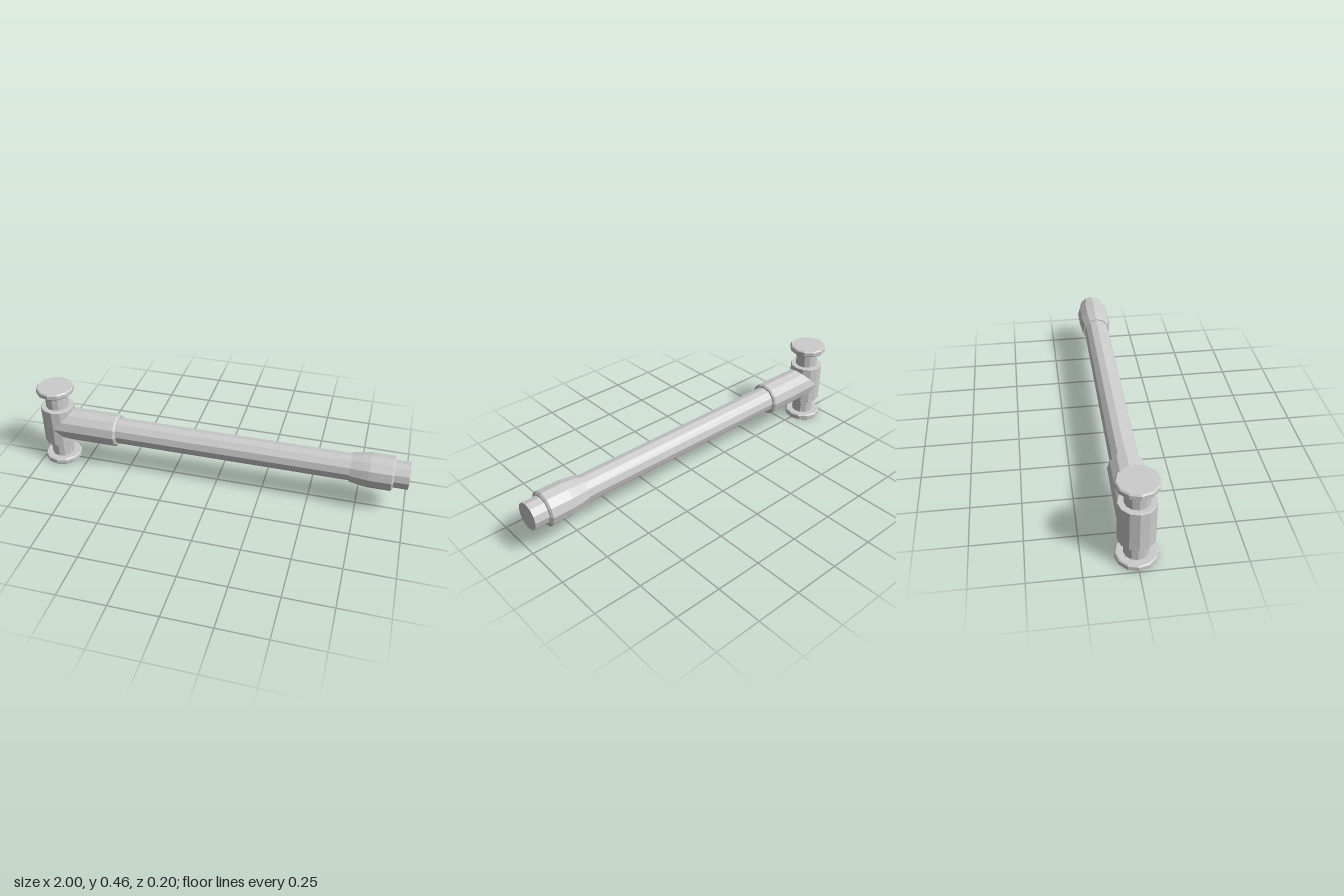
import * as THREE from 'three';

const SIDES = 12;
const AXIS_Y = 0.228;
const HEAD_X = -0.9;

const material = new THREE.MeshStandardMaterial({ color: 0xcccccc, flatShading: true });

// Faceted solid of revolution from [radius, position] pairs, closed at both ends.
function turned(name, profile) {
  const first = profile[0][1];
  const last = profile[profile.length - 1][1];
  const points = [[0, first], ...profile, [0, last]].map(([r, t]) => new THREE.Vector2(r, t));
  const mesh = new THREE.Mesh(new THREE.LatheGeometry(points, SIDES), material);
  mesh.name = name;
  return mesh;
}

// Same solid laid along +x.
function turnedAlongX(name, profile) {
  const mesh = turned(name, profile);
  mesh.rotation.z = -Math.PI / 2;
  mesh.position.y = AXIS_Y;
  return mesh;
}

export function createModel() {
  const model = new THREE.Group();
  model.name = 'hammer';

  // Head: collar, with a neck and striking face at each end
  const head = new THREE.Group();
  head.name = 'head';
  head.position.set(HEAD_X, AXIS_Y, 0);
  head.add(turned('headCollar', [[0.087, -0.108], [0.089, -0.106], [0.089, 0.106], [0.087, 0.108]]));
  for (const side of [1, -1]) {
    const end = new THREE.Group();
    end.name = side > 0 ? 'upperEnd' : 'lowerEnd';
    end.add(
      turned('neck', [[0.06, 0.09], [0.06, 0.2]]),
      turned('strikingFace', [[0.094, 0.195], [0.1, 0.201], [0.1, 0.221], [0.094, 0.228]])
    );
    if (side < 0) end.rotation.x = Math.PI;
    head.add(end);
  }
  model.add(head);

  // Handle: socket sleeve, long rod and swollen grip
  model.add(
    turnedAlongX('socketSleeve', [[0.089, HEAD_X], [0.089, -0.557], [0.081, -0.548]]),
    turnedAlongX('rod', [[0.071, -0.85], [0.071, 1]]),
    turnedAlongX('grip', [[0.077, 0.705], [0.086, 0.76], [0.091, 0.8], [0.091, 0.915], [0.08, 0.924]])
  );

  return model;
}
